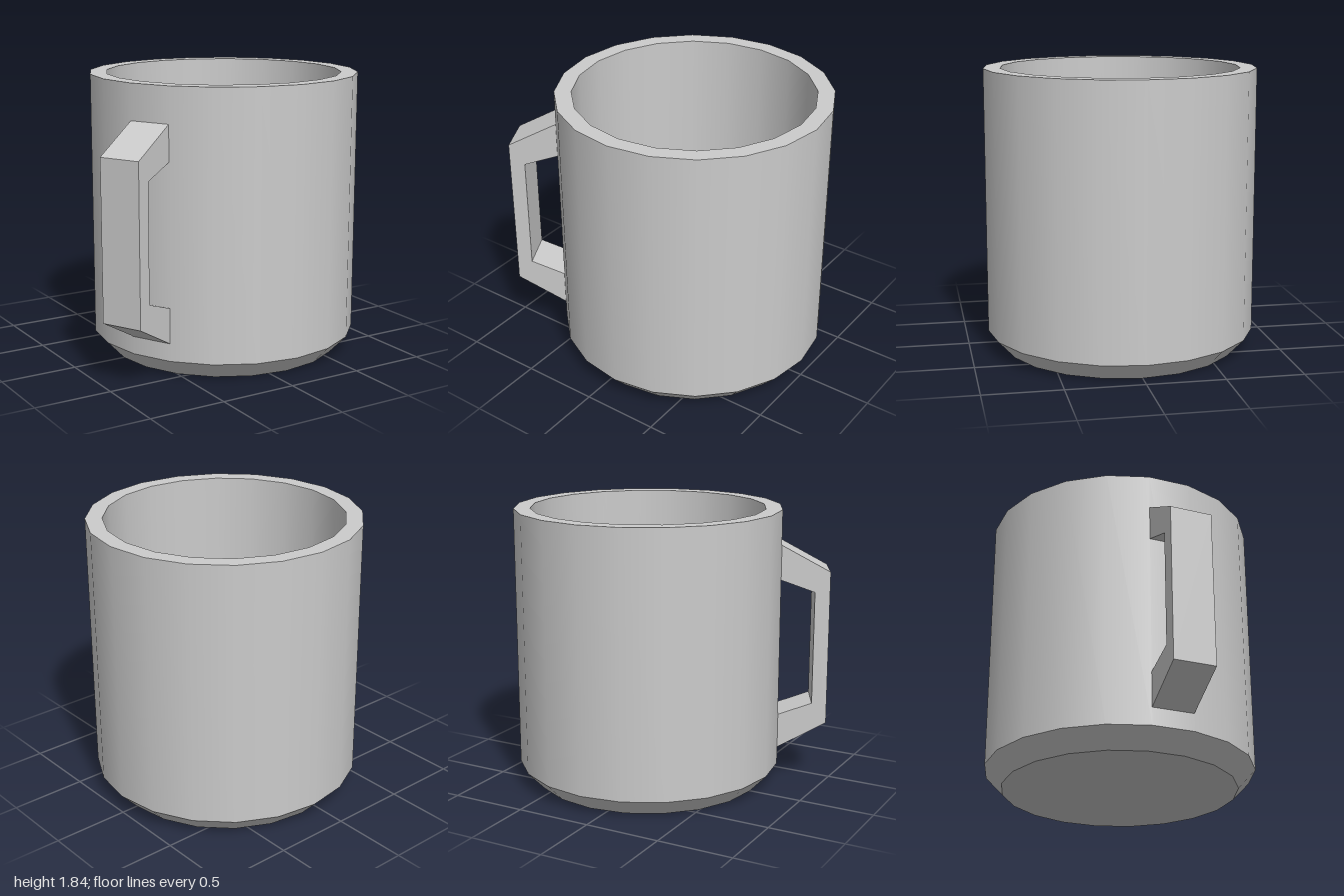
import * as THREE from 'three';
import { mergeGeometries } from 'three/addons/utils/BufferGeometryUtils.js';

const SIDES = 20;
const RADIUS = 0.878;

export function createModel() {
  const material = new THREE.MeshStandardMaterial({ color: 0xcccccc });
  const mug = new THREE.Group();
  mug.name = 'mug';
  mug.position.x = 0.122;

  // Cup: one lathe per profile segment, smooth around and sharp between bands
  const profile = [
    [0, 0], [0.765, 0], [RADIUS, 0.12], [RADIUS, 1.84],
    [0.77, 1.84], [0.77, 0.12], [0, 0.12],
  ].map(([r, y]) => new THREE.Vector2(r, y));
  const bands = [];
  for (let i = 0; i < profile.length - 1; i++) {
    bands.push(new THREE.LatheGeometry([profile[i], profile[i + 1]], SIDES));
  }
  const cup = new THREE.Mesh(mergeGeometries(bands), material);
  cup.name = 'cup';
  mug.add(cup);

  // Handle: angular C profile, as wide as the wall facet it grows from
  const facet = Math.PI / SIDES;
  const width = 2 * RADIUS * Math.sin(facet);
  const wall = RADIUS * Math.cos(facet);
  const outer = wall + 0.32;
  const inner = wall + 0.222;
  const shape = new THREE.Shape([
    [wall, 0.235], [outer, 0.41], [outer, 1.435], [wall, 1.61],
    [wall, 1.38], [inner, 1.3], [inner, 0.545], [wall, 0.465],
  ].map(([x, y]) => new THREE.Vector2(x, y)));
  const handleGeometry = new THREE.ExtrudeGeometry(shape, { depth: width, bevelEnabled: false });
  handleGeometry.translate(0, 0, -width / 2);
  const handle = new THREE.Mesh(handleGeometry, material);
  handle.name = 'handle';
  handle.rotation.y = Math.PI + 3 * facet; // centre of the second facet towards the front
  mug.add(handle);

  const model = new THREE.Group();
  model.add(mug);
  return model;
}
